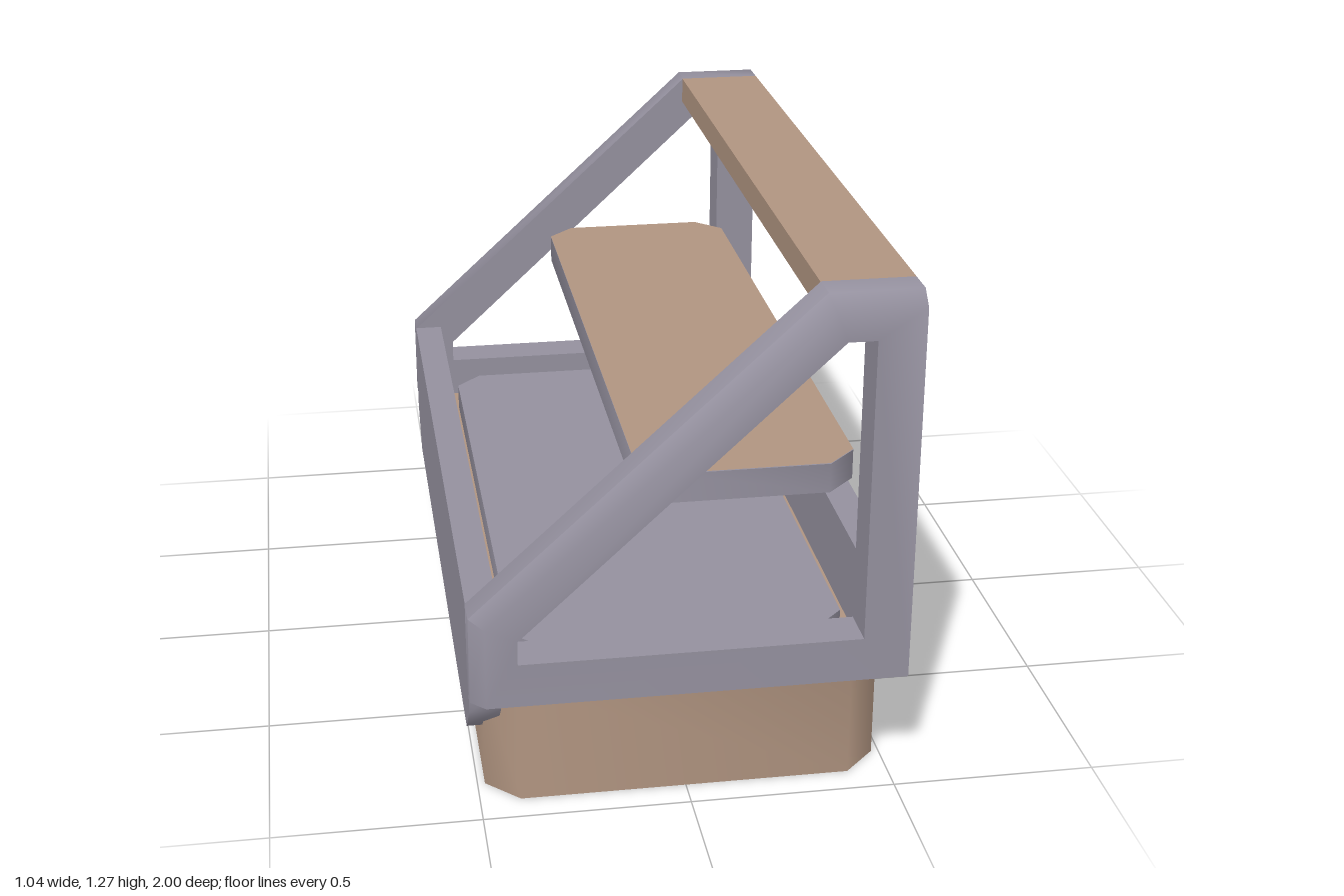
import * as THREE from 'three';
import { toCreasedNormals } from 'three/addons/utils/BufferGeometryUtils.js';

const CREASE = THREE.MathUtils.degToRad(52);

export function createModel() {
  const group = new THREE.Group();
  const wood = new THREE.MeshStandardMaterial({ name: 'warm brown', color: 0xb09480 });
  const metal = new THREE.MeshStandardMaterial({ name: 'violet grey', color: 0x94909e });

  const add = (name, geometry, material) => {
    const mesh = new THREE.Mesh(geometry, material);
    mesh.name = name;
    group.add(mesh);
  };
  const polygon = (pts) => new THREE.Shape(pts.map(([x, y]) => new THREE.Vector2(x, y)));
  const extrude = (shape, depth, steps = 1) =>
    new THREE.ExtrudeGeometry(shape, { depth, steps, bevelEnabled: false });
  // box given by its limits
  const box = (x0, x1, y0, y1, z) =>
    new THREE.BoxGeometry(x1 - x0, y1 - y0, 2 * z).translate((x0 + x1) / 2, (y0 + y1) / 2, 0);

  // plan rectangle with cut corners
  const cutRect = (x0, x1, z, c) => polygon([
    [x0 + c, -z], [x1 - c, -z], [x1, -z + c], [x1, z - c],
    [x1 - c, z], [x0 + c, z], [x0, z - c], [x0, -z + c],
  ]);
  const slab = (shape, y0, y1) =>
    toCreasedNormals(extrude(shape, y1 - y0).rotateX(-Math.PI / 2).translate(0, y0, 0), CREASE);

  // base and raised display floor
  add('base', slab(cutRect(-0.482, 0.482, 0.925, 0.08), 0, 0.3), wood);
  add('displayFloor', slab(cutRect(-0.405, 0.405, 0.85, 0.07), 0.3, 0.37), metal);

  // low long walls between the end frames
  add('frontWall', box(-0.52, -0.445, 0.3, 0.522, 0.89), metal);
  add('rearWall', box(0.445, 0.52, 0.3, 0.522, 0.89), metal);

  // lip hanging below the low wall, its ends cut at the bottom
  const lip = polygon([[-0.82, 0.15], [0.82, 0.15], [0.925, 0.25], [0.925, 0.3], [-0.925, 0.3], [-0.925, 0.25]]);
  add('hangingLip', toCreasedNormals(
    extrude(lip, 0.075).rotateY(-Math.PI / 2).translate(-0.445, 0, 0), CREASE), metal);

  // sloping end frames, bevelled along the outer low edge, slope and top
  const outer = [[-0.52, 0.3], [0.52, 0.3], [0.52, 1.27], [0.3, 1.27], [-0.52, 0.52]];
  const bevelled = [[-0.485, 0.3], [0.52, 0.3], [0.52, 1.235], [0.314, 1.235], [-0.485, 0.505]];
  const opening = [[-0.41, 0.41], [-0.41, 0.47], [0.34, 1.163], [0.408, 1.163], [0.408, 0.41]];
  const endFrame = (side) => {
    const shape = polygon(outer);
    shape.holes.push(polygon(opening));
    const geometry = extrude(shape, 0.11, 2);
    const pos = geometry.attributes.position;
    const outerLevel = side > 0 ? 0.11 : 0;
    for (let i = 0; i < pos.count; i++) {
      const x = pos.getX(i), y = pos.getY(i), z = pos.getZ(i);
      if (Math.abs(z - 0.055) < 0.01) {
        pos.setZ(i, side > 0 ? 0.075 : 0.035);
      } else if (Math.abs(z - outerLevel) < 0.01) {
        const k = outer.findIndex(([a, b]) => Math.hypot(a - x, b - y) < 1e-4);
        if (k >= 0) pos.setXY(i, bevelled[k][0], bevelled[k][1]);
      }
    }
    geometry.translate(0, 0, side > 0 ? 0.89 : -1);
    return toCreasedNormals(geometry, CREASE);
  };
  add('endFrameNear', endFrame(1), metal);
  add('endFrameFar', endFrame(-1), metal);

  // middle shelf with a wooden top face
  const shelf = cutRect(-0.11, 0.41, 0.89, 0.07);
  add('shelf', slab(shelf, 0.745, 0.818), metal);
  add('shelfTop', new THREE.ShapeGeometry(shelf).rotateX(-Math.PI / 2).translate(0, 0.82, 0), wood);

  // top board
  add('topBoard', box(0.298, 0.52, 1.2, 1.27, 0.89), wood);

  return group;
}
